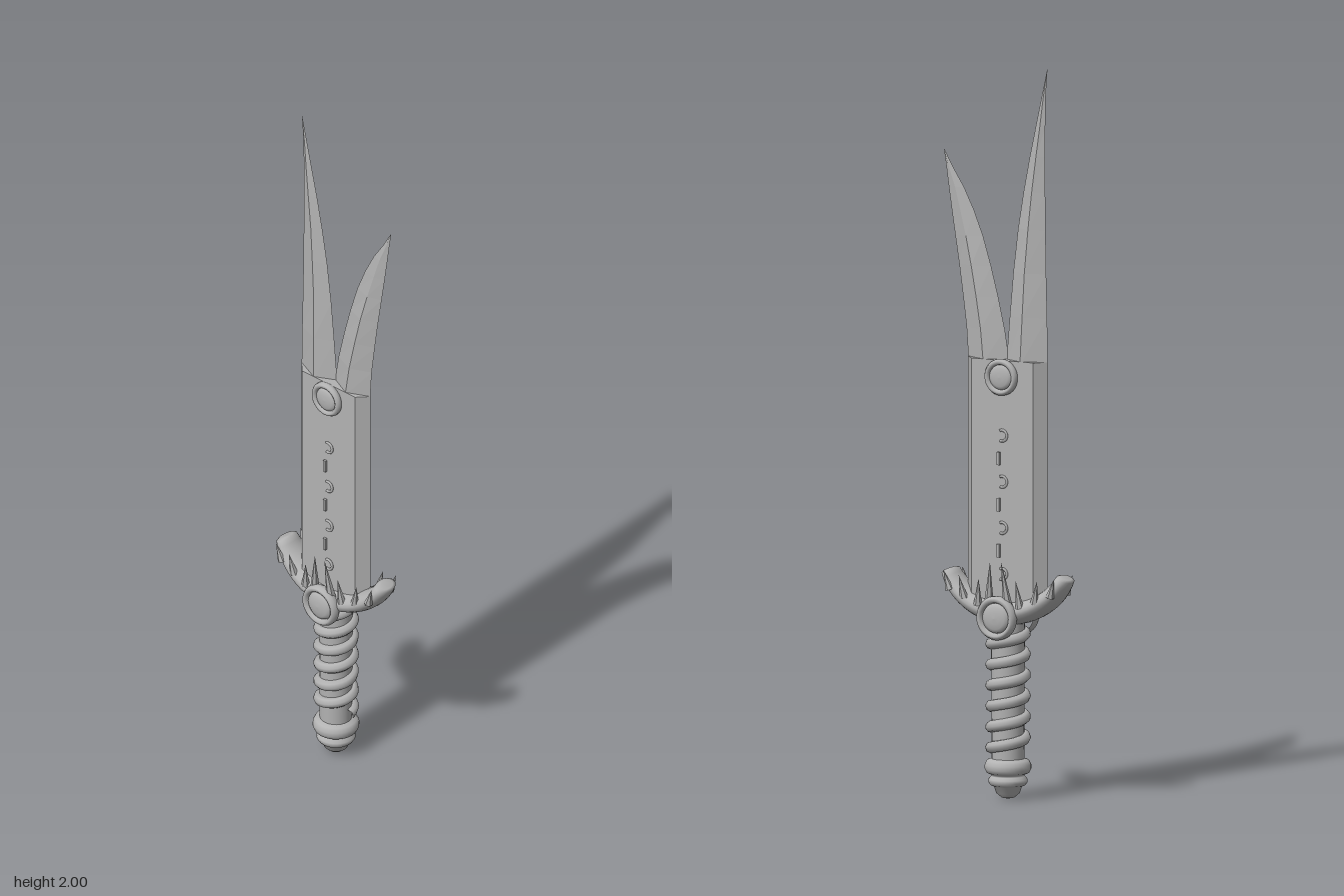
import * as THREE from 'three';

const steel = new THREE.MeshStandardMaterial({ color: 0xb2b2b2 });
steel.name = 'grey steel';

// Skin a list of equal-sized rings (counter-clockwise about the direction of travel)
function loft(rings, smooth) {
  const n = rings[0].length, idx = [];
  for (let i = 0; i < rings.length - 1; i++) {
    for (let j = 0; j < n; j++) {
      const a = i * n + j, b = i * n + (j + 1) % n;
      idx.push(a, b, b + n, a, b + n, a + n);
    }
  }
  const last = (rings.length - 1) * n;
  for (let j = 1; j < n - 1; j++) idx.push(0, j + 1, j, last, last + j, last + j + 1);
  let g = new THREE.BufferGeometry();
  g.setAttribute('position', new THREE.Float32BufferAttribute(rings.flat(2), 3));
  g.setIndex(idx);
  if (!smooth) g = g.toNonIndexed();
  g.computeVertexNormals();
  return g;
}

export function createModel() {
  const model = new THREE.Group();
  const add = (name, geometry, parent = model) => {
    const m = new THREE.Mesh(geometry, steel);
    m.name = name;
    parent.add(m);
    return m;
  };
  const lathe = (pts, seg = 32) => new THREE.LatheGeometry(pts.map(p => new THREE.Vector2(...p)), seg);

  // Blade: bevelled slab
  const slab = y => [[0.125, y, 0], [0.097, y, -0.03], [-0.097, y, -0.03],
    [-0.125, y, 0], [-0.097, y, 0.03], [0.097, y, 0.03]];
  add('blade', loft([slab(0.53), slab(1.2)]));

  // Prongs: diamond sections given as [y, left edge, ridge, right edge, half thickness]
  const prong = rows => loft(rows.map(([y, l, m, r, t]) => [[r, y, 0], [m, y, -t], [l, y, 0], [m, y, t]]));
  add('longProng', prong([
    [1.19, -0.125, -0.055, 0.005, 0.03], [1.32, -0.123, -0.059, -0.006, 0.025],
    [1.44, -0.12, -0.063, -0.017, 0.02], [1.56, -0.118, -0.072, -0.032, 0.016],
    [1.66, -0.117, -0.081, -0.049, 0.012], [1.76, -0.117, -0.093, -0.069, 0.009],
    [1.84, -0.117, -0.103, -0.087, 0.006], [1.92, -0.118, -0.112, -0.105, 0.003],
    [2.0, -0.124, -0.1235, -0.123, 0.0005]]));
  add('shortProng', prong([
    [1.19, -0.005, 0.06, 0.124, 0.03], [1.28, 0.01, 0.071, 0.13, 0.026],
    [1.365, 0.03, 0.087, 0.141, 0.022], [1.45, 0.053, 0.105, 0.153, 0.018],
    [1.53, 0.078, 0.125, 0.166, 0.013], [1.6, 0.107, 0.145, 0.177, 0.009],
    [1.66, 0.138, 0.163, 0.186, 0.006], [1.71, 0.171, 0.183, 0.193, 0.003],
    [1.76, 0.2, 0.2005, 0.201, 0.0005]]));

  // Crescent guard: swept oval with rounded ends
  const arc = a => [0.18 * Math.sin(a) / Math.sin(1.2), 0.51 + 0.16 * (1 - Math.cos(a))];
  const guardRing = (a, s = 1) => {
    const u = Math.abs(a) / 1.2;
    const [x, y] = arc(a);
    const dir = new THREE.Vector2(0.193 * Math.cos(a), 0.16 * Math.sin(a)).normalize();
    const h = (0.036 - 0.014 * u) * s, w = (0.062 - 0.027 * u * u) * s;
    return Array.from({ length: 20 }, (_, k) => {
      const p = k / 20 * Math.PI * 2, c = h * Math.cos(p);
      return [x - dir.y * c, y + dir.x * c, w * Math.sin(p)];
    });
  };
  const rings = [guardRing(-1.23, 0.7)];
  for (let i = -12; i <= 12; i++) rings.push(guardRing(i / 10));
  rings.push(guardRing(1.23, 0.7));
  add('guard', loft(rings, true));

  // Fangs along the guard, on both faces: [x, base y, height, radius, lean]
  const fangs = [[0.03, 0.53, 0.125, 0.014, 0.1], [0.066, 0.53, 0.075, 0.012, 0.1],
    [0.11, 0.545, 0.065, 0.012, -0.2], [0.157, 0.565, 0.055, 0.012, -0.3]];
  for (const sx of [1, -1]) for (const sz of [1, -1]) {
    for (const [x, y, h, r, lean] of fangs) {
      const cone = new THREE.ConeGeometry(r, h, 6).toNonIndexed();
      cone.translate(0, h / 2, 0);
      cone.computeVertexNormals();
      const m = add('guardFang', cone);
      m.position.set(sx * x, y, sz * (0.053 - x * 0.06));
      m.rotation.set(sz * 0.12, 0, sx * lean);
    }
  }

  // Round studs with a raised rim and domed centre, front and back
  const stud = (name, y, z0, r, depth) => {
    for (const sz of [1, -1]) {
      const g = new THREE.Group();
      g.name = name;
      add('studRim', lathe([[r * 0.9, 0], [r, depth * 0.3], [r, depth * 0.65], [r * 0.92, depth * 0.95],
        [r * 0.82, depth], [r * 0.72, depth * 0.85], [r * 0.68, depth * 0.55]]), g);
      add('studDome', lathe([[r * 0.7, depth * 0.5], [r * 0.66, depth * 0.75], [r * 0.5, depth * 0.92],
        [r * 0.25, depth], [0, depth * 1.03]]), g);
      g.position.set(0, y, sz * z0);
      g.rotation.x = sz * Math.PI / 2;
      model.add(g);
    }
  };
  stud('guardStud', 0.5, 0.045, 0.06, 0.031);
  stud('bladeStud', 1.155, 0.026, 0.05, 0.022);

  // Row of small hooks and bars down the blade
  for (const sz of [1, -1]) {
    for (let i = 0; i < 7; i++) {
      const hook = i % 2 === 0;
      const geo = hook ? new THREE.TorusGeometry(0.015, 0.004, 6, 12, Math.PI * 1.25)
        : new THREE.BoxGeometry(0.008, 0.036, 0.01);
      const m = add(hook ? 'bladeHook' : 'bladeBar', geo);
      m.position.set(hook ? 0 : -sz * 0.01, 0.995 - i * 0.063, sz * 0.032);
      m.rotation.set(0, sz > 0 ? 0 : Math.PI, hook ? -Math.PI * 0.62 : 0);
    }
  }

  // Grip core and spiral wrap
  const core = add('gripCore', new THREE.CylinderGeometry(0.046, 0.044, 0.4, 24));
  core.position.y = 0.29;
  const turns = 6, spiral = [];
  for (let i = 0; i <= turns * 16; i++) {
    const a = i / 16 * Math.PI * 2;
    spiral.push(new THREE.Vector3(0.046 * Math.cos(a), 0.135 + 0.34 * i / (turns * 16), -0.046 * Math.sin(a)));
  }
  add('gripWrap', new THREE.TubeGeometry(new THREE.CatmullRomCurve3(spiral), 200, 0.016, 8));

  // Pommel: two collars above a rounded cap
  add('pommel', lathe([[0, 0], [0.018, 0.004], [0.032, 0.016], [0.038, 0.034], [0.048, 0.038], [0.053, 0.046],
    [0.053, 0.054], [0.046, 0.062], [0.044, 0.066], [0.058, 0.072], [0.063, 0.082], [0.063, 0.094],
    [0.057, 0.106], [0.042, 0.111]]));
  return model;
}
